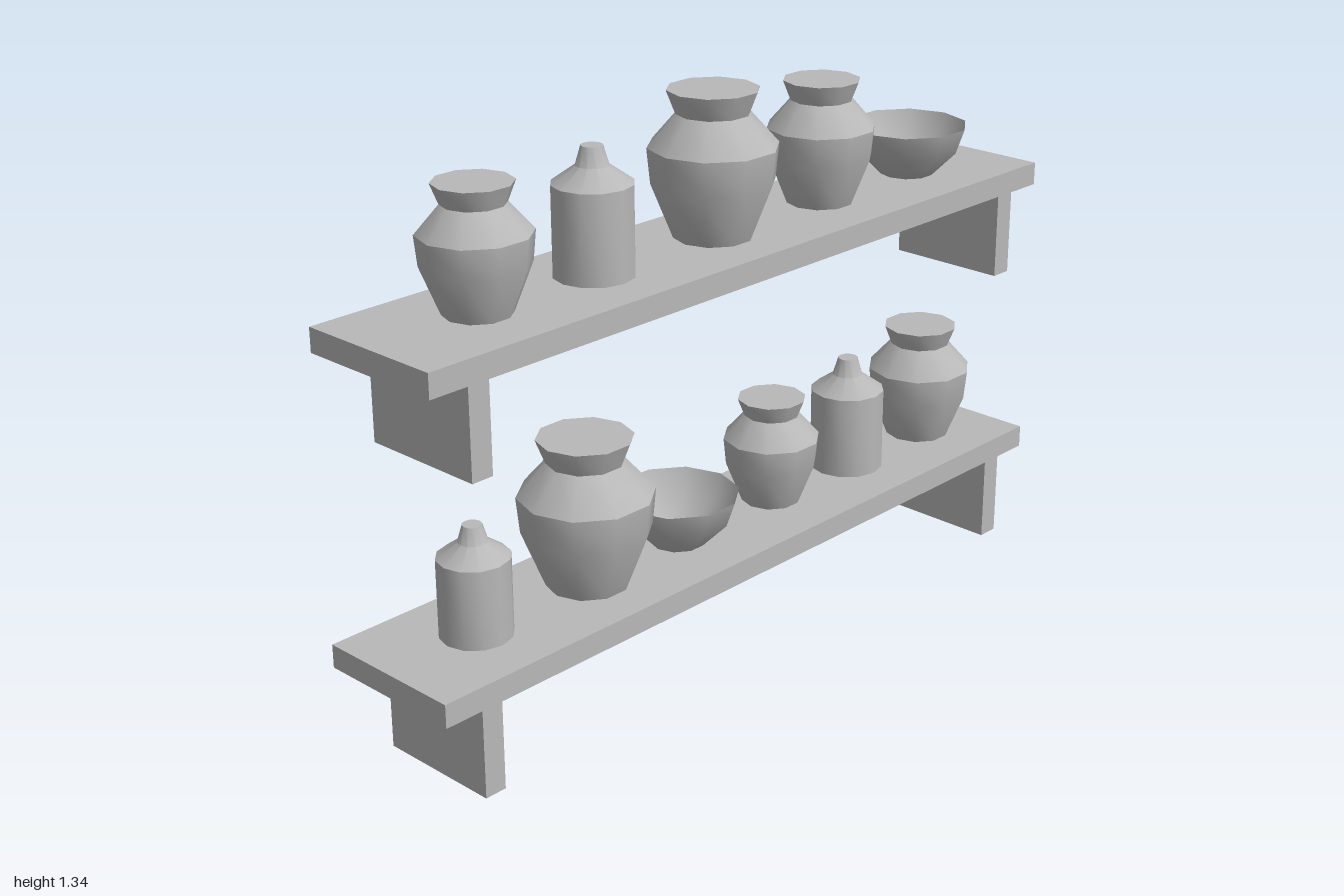
import * as THREE from 'three';
import { toCreasedNormals } from 'three/addons/utils/BufferGeometryUtils.js';

export function createModel() {
  const model = new THREE.Group();
  model.name = 'potteryShelves';
  const clay = new THREE.MeshStandardMaterial({ color: 0xb8b8b8, side: THREE.DoubleSide });
  clay.name = 'grey';

  function box(name, x0, x1, y0, y1, z0, z1, parent) {
    const mesh = new THREE.Mesh(new THREE.BoxGeometry(x1 - x0, y1 - y0, z1 - z0), clay);
    mesh.position.set((x0 + x1) / 2, (y0 + y1) / 2, (z0 + z1) / 2);
    mesh.name = name;
    parent.add(mesh);
  }

  // Profiles as [radius, height] for a pot one unit tall
  const pots = {
    vase: { sides: 10, profile: [[0, 0], [0.27, 0], [0.42, 0.38], [0.443, 0.62], [0.25, 0.84], [0.312, 1], [0, 1]] },
    bottle: { sides: 12, profile: [[0, 0], [0.318, 0], [0.318, 0.715], [0.13, 0.85], [0.085, 1], [0, 1]] },
    bowl: { sides: 10, profile: [[0, 0], [0.53, 0], [1.02, 0.5], [1.19, 1]] },
  };
  for (const pot of Object.values(pots)) {
    const points = pot.profile.map(([r, y]) => new THREE.Vector2(r, y));
    const lathe = new THREE.LatheGeometry(points, pot.sides, Math.PI / 2);
    pot.geometry = toCreasedNormals(lathe, THREE.MathUtils.degToRad(42));
  }

  // One shelf: board on two brackets, with a row of [type, x, height]
  function addShelf(name, bottom, boardBottom, top, row) {
    const shelf = new THREE.Group();
    shelf.name = name;
    box('board', -1, 1, boardBottom, top, -0.187, 0.187, shelf);
    box('leftBracket', 0.847, 0.902, bottom, boardBottom, -0.123, 0.187, shelf);
    box('rightBracket', -0.902, -0.847, bottom, boardBottom, -0.123, 0.187, shelf);
    for (const [type, x, height] of row) {
      const mesh = new THREE.Mesh(pots[type].geometry, clay);
      mesh.name = type;
      mesh.position.set(x, top, 0);
      mesh.scale.setScalar(height);
      shelf.add(mesh);
    }
    model.add(shelf);
  }

  addShelf('lowerShelf', 0, 0.212, 0.268, [
    ['bottle', -0.752, 0.262], ['vase', -0.417, 0.36], ['bowl', -0.123, 0.125],
    ['vase', 0.208, 0.269], ['bottle', 0.497, 0.291], ['vase', 0.79, 0.301],
  ]);
  addShelf('upperShelf', 0.731, 0.941, 0.998, [
    ['vase', -0.71, 0.283], ['bottle', -0.377, 0.291], ['vase', 0, 0.345],
    ['vase', 0.374, 0.299], ['bowl', 0.709, 0.125],
  ]);
  return model;
}
